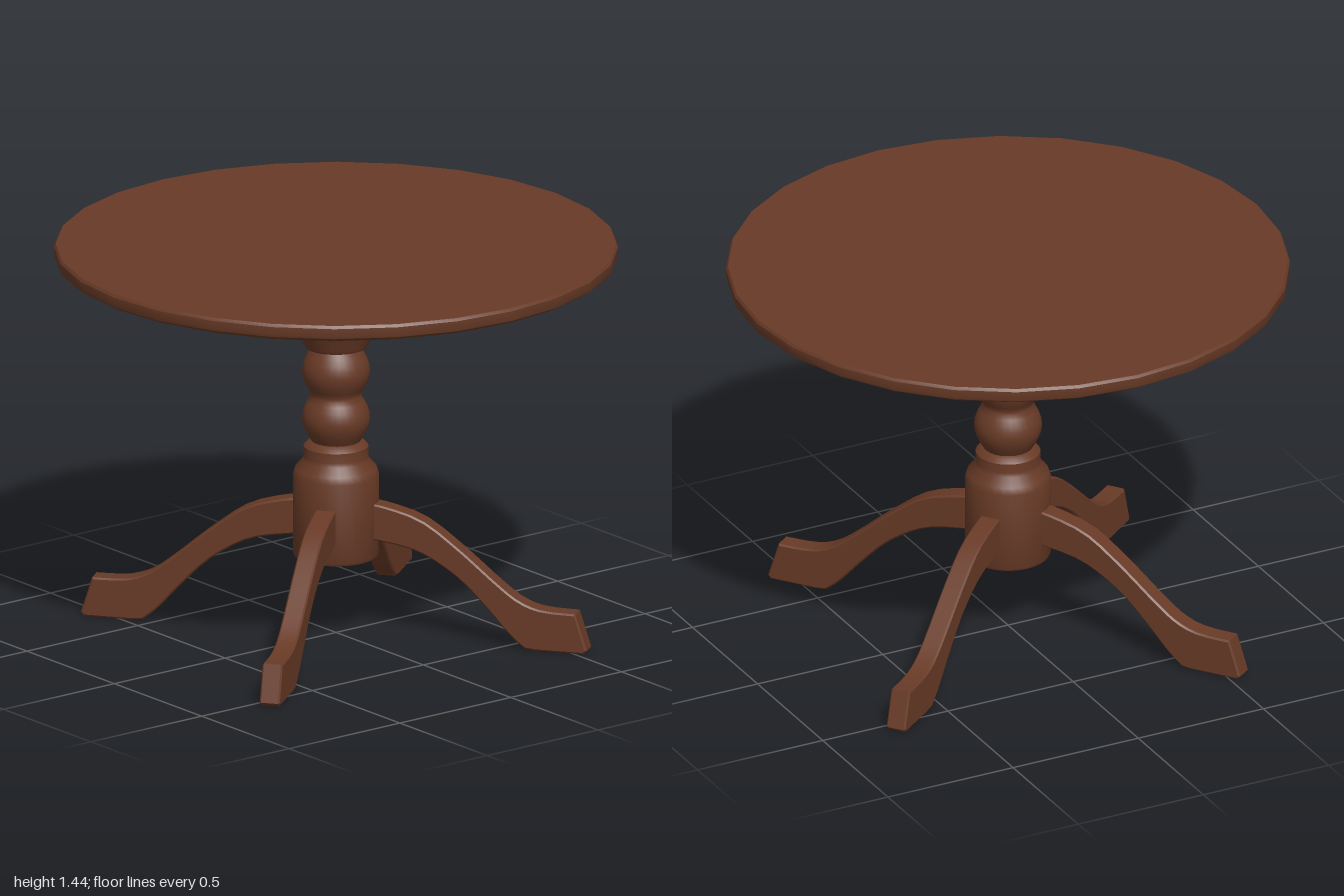
import * as THREE from 'three';
import { toCreasedNormals } from 'three/addons/utils/BufferGeometryUtils.js';

const wood = new THREE.MeshStandardMaterial({ color: 0x683a26 });
wood.name = 'dark brown wood';

const vec = ([x, y]) => new THREE.Vector2(x, y);

function addMesh(parent, geometry, name) {
  const mesh = new THREE.Mesh(geometry, wood);
  mesh.name = name;
  parent.add(mesh);
  return mesh;
}

// Turned part from a bottom-to-top profile of [radius, height]
function turned(profile, sides) {
  return toCreasedNormals(new THREE.LatheGeometry(profile.map(vec), sides), 0.6);
}

// Half-round bead between two heights
function bead(y0, y1, neck, belly) {
  const points = [];
  for (let i = 0; i <= 8; i++) {
    const t = i / 8;
    points.push([neck + (belly - neck) * Math.sin(Math.PI * t), y0 + (y1 - y0) * t]);
  }
  return points;
}

// Swept leg: side outline of [distance from axis, height], given an even width
function legGeometry() {
  const top = [[0.1, 0.497], [0.17, 0.493], [0.32, 0.45], [0.456, 0.355], [0.59, 0.243],
    [0.675, 0.18], [0.76, 0.15], [0.885, 0.145]];
  const bottom = [[0.7, 0.004], [0.645, 0.05], [0.557, 0.147], [0.45, 0.25],
    [0.31, 0.332], [0.16, 0.362], [0.1, 0.365]];
  const curve = (points) => new THREE.SplineCurve(points.map(vec)).getPoints(20);
  const outline = [...curve(top), vec([0.927, 0.012]), vec([0.915, 0]), vec([0.74, 0]), ...curve(bottom)];
  const width = 0.074, bevel = 0.006;
  const geometry = new THREE.ExtrudeGeometry(new THREE.Shape(outline), {
    depth: width - 2 * bevel, bevelEnabled: true, bevelSegments: 1,
    bevelSize: bevel, bevelThickness: bevel, bevelOffset: -bevel,
  });
  geometry.translate(0, 0, bevel - width / 2);
  return toCreasedNormals(geometry, 0.5);
}

export function createModel() {
  const table = new THREE.Group();
  table.name = 'pedestalTable';

  // Round top with softened edges
  addMesh(table, turned([[0, 1.38], [0.978, 1.38], [0.997, 1.392], [1, 1.4],
    [1, 1.43], [0.993, 1.44], [0, 1.44]], 28), 'tableTop');

  // Mounting plate and its screws
  const plate = addMesh(table, new THREE.CylinderGeometry(0.31, 0.31, 0.034, 32), 'mountingPlate');
  plate.position.y = 1.365;
  for (let i = 0; i < 4; i++) {
    const a = Math.PI / 4 + i * Math.PI / 2;
    const screw = addMesh(table, new THREE.CylinderGeometry(0.018, 0.011, 0.014, 8), 'screw');
    screw.position.set(0.24 * Math.cos(a), 1.342, 0.24 * Math.sin(a));
  }

  // Turned column: hub, shoulder, two beads, collar and head
  addMesh(table, turned([
    [0, 0.29], [0.148, 0.29], [0.153, 0.3], [0.153, 0.59], [0.145, 0.615], [0.118, 0.645],
    [0.115, 0.66], [0.115, 0.695], [0.1, 0.71],
    ...bead(0.715, 0.883, 0.088, 0.121),
    ...bead(0.888, 1.058, 0.088, 0.121),
    [0.11, 1.062], [0.118, 1.075], [0.128, 1.115], [0.14, 1.135], [0.157, 1.15],
    [0.166, 1.165], [0.165, 1.18], [0.155, 1.195], [0.155, 1.35], [0, 1.35],
  ], 32), 'column');

  // Four curved legs around the hub
  const leg = legGeometry();
  for (let i = 0; i < 4; i++) {
    const mesh = addMesh(table, leg, 'leg');
    mesh.rotation.y = THREE.MathUtils.degToRad(-53 + i * 90);
  }
  return table;
}
